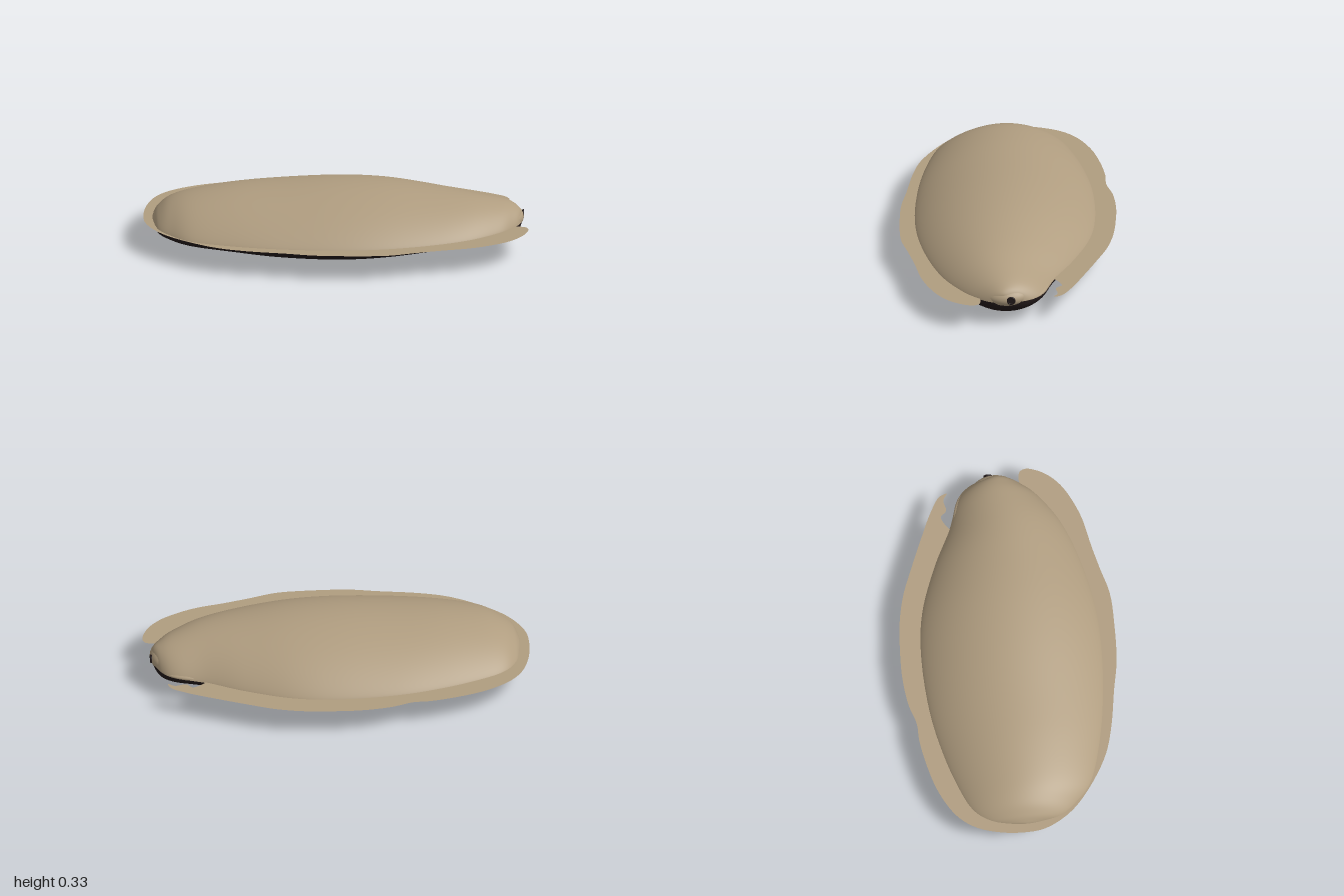
import * as THREE from 'three';

const RIM = 0.135; // height of the mantle plane

// Body stations: x, back z, front z, top y, bottom y
const STATIONS = [
  [-0.955, 0.02, 0.02, 0.135, 0.135],
  [-0.945, -0.08, 0.1, 0.155, 0.115],
  [-0.92, -0.17, 0.2, 0.185, 0.085],
  [-0.86, -0.25, 0.28, 0.228, 0.068],
  [-0.75, -0.31, 0.37, 0.265, 0.06],
  [-0.55, -0.38, 0.43, 0.295, 0.045],
  [-0.3, -0.435, 0.47, 0.312, 0.014],
  [0, -0.455, 0.485, 0.327, 0],
  [0.25, -0.43, 0.465, 0.323, 0.012],
  [0.5, -0.345, 0.405, 0.298, 0.04],
  [0.7, -0.25, 0.325, 0.27, 0.052],
  [0.85, -0.2, 0.22, 0.238, 0.057],
  [0.92, -0.14, 0.14, 0.212, 0.065],
  [0.955, -0.06, 0.08, 0.185, 0.1],
  [0.965, -0.01, 0.01, 0.15, 0.134],
];

// Mantle outlines (x, z), each running from the tail towards the head
const BACK_EDGE = [
  [-1, 0], [-0.99, -0.12], [-0.95, -0.25], [-0.88, -0.34], [-0.75, -0.42], [-0.6, -0.47],
  [-0.45, -0.5], [-0.36, -0.505], [-0.25, -0.54], [-0.1, -0.56], [0.05, -0.56], [0.2, -0.55],
  [0.35, -0.52], [0.5, -0.465], [0.65, -0.405], [0.8, -0.34], [0.88, -0.29], [0.895, -0.25],
  [0.86, -0.27], [0.8, -0.26], [0.77, -0.29], [0.74, -0.28], [0.69, -0.24], [0.6, -0.1],
];
const FRONT_EDGE = [
  [-0.99, 0.1], [-0.95, 0.19], [-0.88, 0.28], [-0.75, 0.38], [-0.6, 0.46], [-0.45, 0.5],
  [-0.25, 0.53], [-0.1, 0.555], [0.1, 0.56], [0.28, 0.55], [0.42, 0.51], [0.55, 0.475],
  [0.7, 0.44], [0.8, 0.4], [0.9, 0.34], [0.97, 0.26], [1, 0.17], [0.985, 0.137],
  [0.93, 0.13], [0.88, 0.16], [0.82, 0.2], [0.7, 0.1],
];

// Half of the body, lofted through the stations above or below the rim
function halfBody(upper) {
  const curve = (column) => new THREE.CatmullRomCurve3(
    STATIONS.map((s) => new THREE.Vector3(s[0], s[column], s[column + 1])), false, 'catmullrom', 0.5);
  const widths = curve(1), heights = curve(3);
  const rows = 84, cols = 48, positions = [], index = [];
  for (let i = 0; i <= rows; i++) {
    const w = widths.getPoint(i / rows), h = heights.getPoint(i / rows);
    const mid = (w.y + w.z) / 2, half = Math.max(0, (w.z - w.y) / 2);
    for (let j = 0; j <= cols; j++) {
      const a = (j / cols) * Math.PI, s = Math.max(0, Math.sin(a));
      const y = upper ? RIM + (h.y - RIM) * s ** 1.7 : RIM + (h.z - RIM) * s ** 0.95;
      positions.push(w.x, Math.max(0, y), mid + half * Math.cos(a));
      if (i < rows && j < cols) {
        const p = i * (cols + 1) + j, q = p + cols + 1;
        if (upper) index.push(p, q, p + 1, q, q + 1, p + 1);
        else index.push(p, p + 1, q, q, p + 1, q + 1);
      }
    }
  }
  const geometry = new THREE.BufferGeometry();
  geometry.setAttribute('position', new THREE.Float32BufferAttribute(positions, 3));
  geometry.setIndex(index);
  geometry.computeVertexNormals();
  return geometry;
}

// One face of the thin mantle skirt
function mantleFace(upper) {
  const outline = [...BACK_EDGE, ...FRONT_EDGE.slice().reverse()];
  const curve = new THREE.CatmullRomCurve3(
    outline.map(([x, z]) => new THREE.Vector3(x, -z, 0)), true, 'centripetal');
  const shape = new THREE.Shape(curve.getPoints(230).slice(0, -1).map((p) => new THREE.Vector2(p.x, p.y)));
  const geometry = new THREE.ShapeGeometry(shape);
  geometry.rotateX(-Math.PI / 2);
  if (!upper) {
    geometry.setIndex(Array.from(geometry.index.array).reverse());
    geometry.computeVertexNormals();
  }
  geometry.translate(0, RIM + (upper ? 0.003 : -0.003), 0);
  return geometry;
}

export function createModel() {
  const group = new THREE.Group();
  const tan = new THREE.MeshStandardMaterial({ name: 'tan skin', color: 0xb09d80 });
  const dark = new THREE.MeshStandardMaterial({ name: 'dark underside', color: 0x231a1a });

  const add = (name, geometry, material, position = [0, 0, 0], scale = [1, 1, 1]) => {
    const mesh = new THREE.Mesh(geometry, material);
    mesh.name = name;
    mesh.position.set(...position);
    mesh.scale.set(...scale);
    group.add(mesh);
    return mesh;
  };

  // Domed back, belly and skirt
  add('back', halfBody(true), tan);
  add('belly', halfBody(false), dark);
  add('mantleTop', mantleFace(true), tan);
  add('mantleUnderside', mantleFace(false), dark);

  // Rounded head and the small fold beside it
  const ball = new THREE.SphereGeometry(1, 40, 24);
  add('head', ball, tan, [0.87, 0.145, 0], [0.103, 0.062, 0.13]);
  const fold = add('headFold', ball, tan, [0.79, 0.138, -0.19], [0.1, 0.016, 0.03]);
  fold.rotation.y = -0.25;

  // Round opening at the tip of the head
  const rim = add('openingRim', new THREE.TorusGeometry(0.018, 0.005, 10, 28), dark, [0.969, 0.15, -0.03]);
  rim.rotation.y = Math.PI / 2;
  const opening = add('opening', new THREE.CircleGeometry(0.018, 28), dark, [0.972, 0.15, -0.03]);
  opening.rotation.y = Math.PI / 2;

  return group;
}
